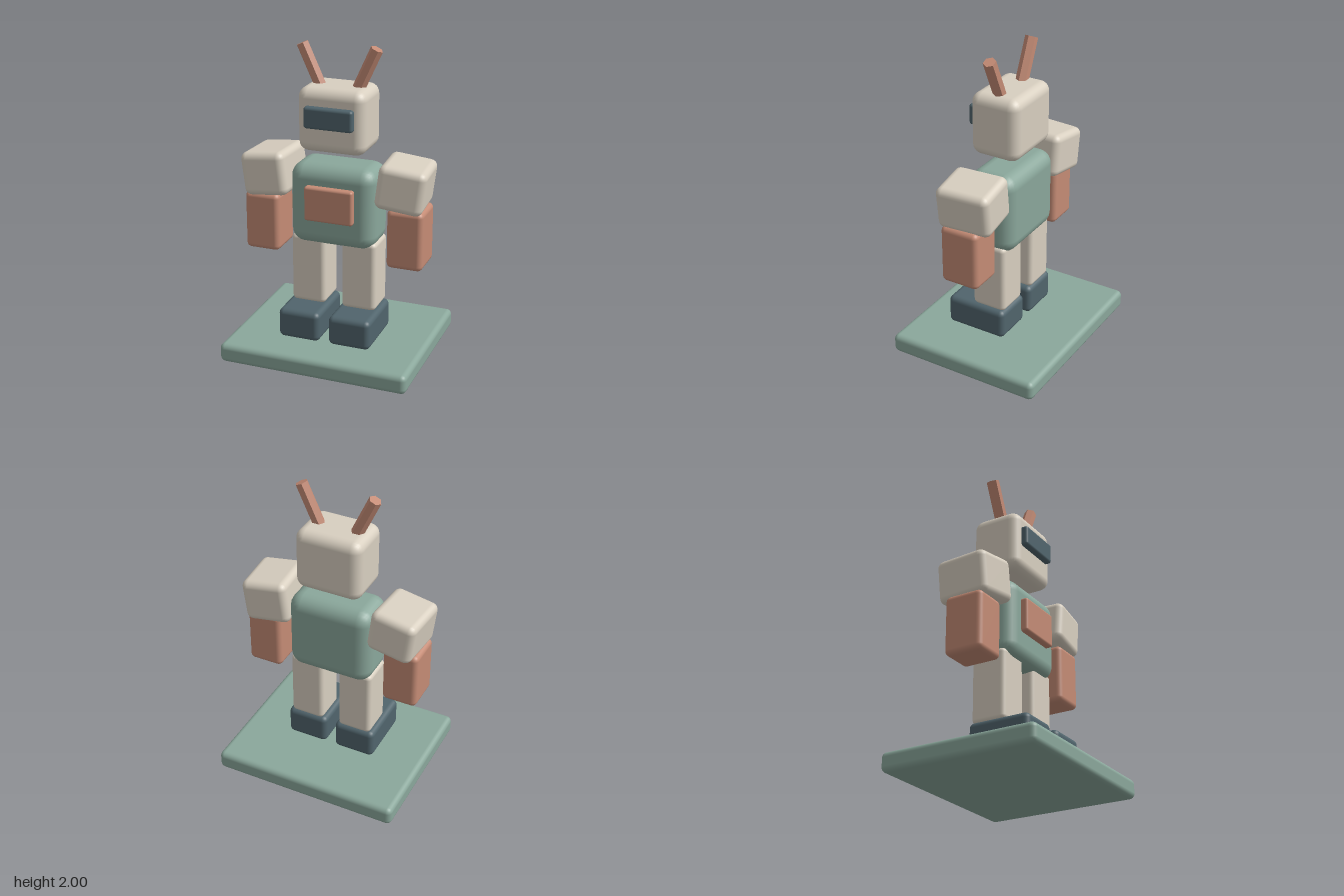
import * as THREE from 'three';
import { RoundedBoxGeometry } from 'three/addons/geometries/RoundedBoxGeometry.js';

const paint = (color, flatShading = false) => new THREE.MeshStandardMaterial({ color, flatShading });

export function createModel() {
  const model = new THREE.Group();
  const green = paint(0x8aa79b);
  const cream = paint(0xd8cfc0);
  const copper = paint(0xc48b75);
  const slate = paint(0x50646c);
  const copperFlat = paint(0xc48b75, true);

  // Rounded block given by its size, centre and edge radius
  function block(name, material, [w, h, d], [x, y, z], radius) {
    const mesh = new THREE.Mesh(new RoundedBoxGeometry(w, h, d, 3, radius), material);
    mesh.name = name;
    mesh.position.set(x, y, z);
    model.add(mesh);
    return mesh;
  }

  // Stand, body and head
  block('base', green, [1.235, 0.125, 1.03], [0, 0.0625, 0], 0.035);
  block('torso', green, [0.56, 0.525, 0.32], [0, 0.995, 0], 0.09);
  block('chestPanel', copper, [0.316, 0.222, 0.07], [0, 1.024, 0.168], 0.016);
  block('head', cream, [0.436, 0.403, 0.33], [0, 1.546, 0], 0.065);
  block('visor', slate, [0.314, 0.135, 0.07], [0, 1.575, 0.17], 0.018);

  // Limbs and antennas, one set per side
  for (const [side, s] of [['left', 1], ['right', -1]]) {
    block(side + 'Foot', slate, [0.275, 0.195, 0.41], [s * 0.168, 0.228, 0.085], 0.035);
    block(side + 'Leg', cream, [0.226, 0.46, 0.23], [s * 0.168, 0.55, 0], 0.03);
    block(side + 'Forearm', copper, [0.23, 0.382, 0.255], [s * 0.472, 0.839, 0.015], 0.033);

    const shoulder = block(side + 'Shoulder', cream, [0.3, 0.28, 0.352], [s * 0.436, 1.164, 0], 0.045);
    shoulder.rotation.set(0, s * 0.07, -s * 0.125);

    // Hexagonal rod leaning outwards, sunk into the head
    const rod = new THREE.CylinderGeometry(0.04, 0.04, 0.32, 6, 1, false, Math.PI / 6);
    rod.translate(0, -0.16, 0);
    const antenna = new THREE.Mesh(rod, copperFlat);
    antenna.name = side + 'Antenna';
    antenna.position.set(s * 0.239, 1.983, 0);
    antenna.rotation.z = -s * 0.43;
    model.add(antenna);
  }
  return model;
}
